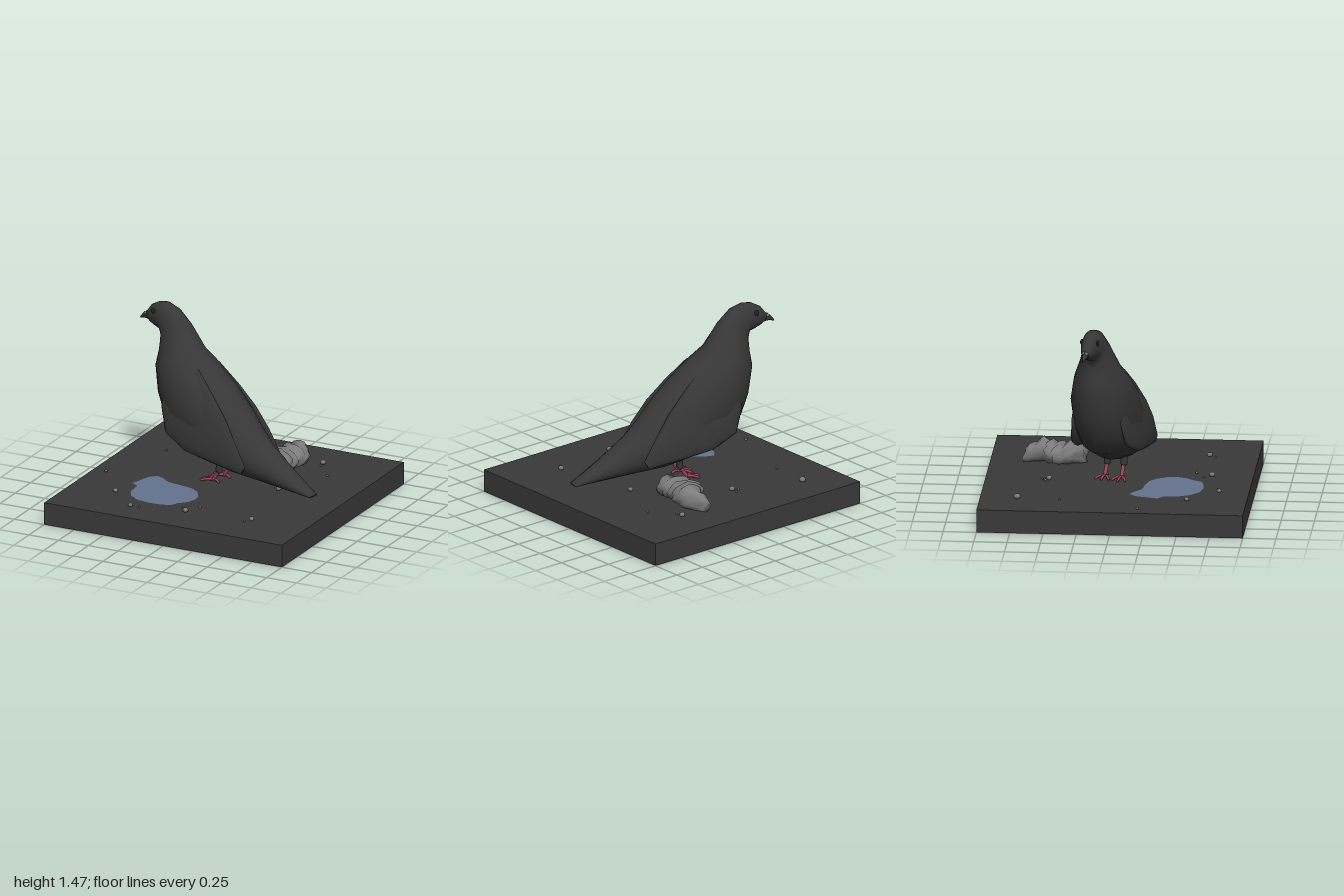
import * as THREE from 'three';

const mat = (name, color, side = THREE.FrontSide) => {
  const m = new THREE.MeshStandardMaterial({ color, side });
  m.name = name;
  return m;
};

// Skin of elliptical rings. Each section: [topX, topY, bottomX, bottomY, halfWidth, topZ, bottomZ]
function loft(sections, sides = 20) {
  const pos = [], index = [];
  for (const [dx, dy, vx, vy, w, dz = 0, vz = 0] of sections) {
    for (let j = 0; j < sides; j++) {
      const a = (j / sides) * Math.PI * 2, c = Math.cos(a) / 2;
      pos.push((dx + vx) / 2 + (dx - vx) * c, (dy + vy) / 2 + (dy - vy) * c,
        (dz + vz) / 2 + (dz - vz) * c + w * Math.sin(a));
    }
  }
  const n = sections.length;
  for (let i = 0; i < n - 1; i++) {
    for (let j = 0; j < sides; j++) {
      const a = i * sides + j, b = i * sides + (j + 1) % sides;
      index.push(a, b, a + sides, b, b + sides, a + sides);
    }
  }
  // End caps
  for (const [i, start] of [[0, true], [n - 1, false]]) {
    const [dx, dy, vx, vy, , dz = 0, vz = 0] = sections[i];
    const c = pos.length / 3;
    pos.push((dx + vx) / 2, (dy + vy) / 2, (dz + vz) / 2);
    for (let j = 0; j < sides; j++) {
      const a = i * sides + j, b = i * sides + (j + 1) % sides;
      if (start) index.push(c, b, a); else index.push(c, a, b);
    }
  }
  const g = new THREE.BufferGeometry();
  g.setAttribute('position', new THREE.Float32BufferAttribute(pos, 3));
  g.setIndex(index);
  g.computeVertexNormals();
  return g;
}

export function createModel() {
  const model = new THREE.Group();
  const ground = mat('asphalt', 0x393939);
  const plumage = mat('plumage', 0x373737);
  const black = mat('eye black', 0x222222);
  const pink = mat('leg pink', 0x9c4259);
  const water = mat('puddle blue', 0x63738f, THREE.DoubleSide);
  const grey = mat('stone grey', 0x787878);
  const crumple = mat('crumpled grey', 0x7c7c7c, THREE.DoubleSide);

  const add = (parent, name, geometry, material, x = 0, y = 0, z = 0) => {
    const m = new THREE.Mesh(geometry, material);
    m.name = name;
    m.position.set(x, y, z);
    parent.add(m);
    return m;
  };
  const rod = (parent, name, points, r, material) => {
    const curve = new THREE.CatmullRomCurve3(points.map(p => new THREE.Vector3(...p)));
    add(parent, name, new THREE.TubeGeometry(curve, 8, r, 7), material);
    for (const p of [points[0], points[points.length - 1]])
      add(parent, name + 'End', new THREE.SphereGeometry(r, 7, 6), material, ...p);
  };

  const TOP = 0.175;
  add(model, 'groundSlab', new THREE.BoxGeometry(2, TOP, 2), ground, 0, TOP / 2, 0);

  // Bird, turned slightly on the slab
  const bird = new THREE.Group();
  bird.name = 'bird';
  bird.position.z = -0.03;
  bird.rotation.y = -0.226;
  bird.scale.x = 1.026;
  model.add(bird);

  // Head, breast, belly and tail in one skin
  add(bird, 'body', loft([
    [-0.745, 1.36, -0.742, 1.30, 0.022],
    [-0.70, 1.42, -0.70, 1.275, 0.05],
    [-0.63, 1.46, -0.65, 1.255, 0.069],
    [-0.56, 1.472, -0.60, 1.24, 0.079],
    [-0.46, 1.44, -0.59, 1.18, 0.09],
    [-0.36, 1.34, -0.602, 1.08, 0.125],
    [-0.25, 1.165, -0.617, 0.98, 0.185],
    [-0.13, 1.08, -0.58, 0.77, 0.23],
    [0.05, 0.93, -0.52, 0.60, 0.245],
    [0.20, 0.78, -0.41, 0.46, 0.24],
    [0.30, 0.66, -0.15, 0.34, 0.21],
    [0.40, 0.565, 0.10, 0.285, 0.165],
    [0.58, 0.44, 0.35, 0.275, 0.115],
    [0.84, 0.272, 0.825, 0.25, 0.046],
  ]), plumage);

  // Beak with pale cere
  add(bird, 'beak', loft([
    [-0.815, 1.293, -0.812, 1.283, 0.004],
    [-0.785, 1.333, -0.775, 1.293, 0.015],
    [-0.73, 1.362, -0.73, 1.292, 0.026],
  ], 10), plumage);

  for (const [side, s] of [['left', 1], ['right', -1]]) {
    add(bird, side + 'Cere', new THREE.SphereGeometry(0.014, 8, 6), grey, -0.755, 1.34, s * 0.012)
      .scale.set(1.2, 0.9, 0.9);
    const eye = add(bird, side + 'Eye', new THREE.SphereGeometry(0.021, 12, 8), black, -0.64, 1.395, s * 0.063);
    eye.scale.z = 0.5;

    // Folded wing, standing clear of the body toward the tip
    add(bird, side + 'Wing', loft([
      [-0.29, 1.03, -0.40, 0.90, 0.02, s * 0.12, s * 0.17],
      [-0.16, 1.06, -0.46, 0.72, 0.04, s * 0.12, s * 0.19],
      [0.00, 0.91, -0.40, 0.53, 0.045, s * 0.155, s * 0.215],
      [0.14, 0.76, -0.20, 0.44, 0.038, s * 0.18, s * 0.24],
      [0.25, 0.60, 0.05, 0.40, 0.028, s * 0.20, s * 0.23],
      [0.35, 0.43, 0.31, 0.362, 0.012, s * 0.205, s * 0.205],
    ], 14), plumage);

    // Leg and four toes
    const z = s * 0.065;
    rod(bird, side + 'Thigh', [[0.0, 0.36, z], [-0.01, 0.28, z]], 0.027, plumage);
    rod(bird, side + 'Shank', [[-0.01, 0.28, z], [-0.065, TOP + 0.018, z]], 0.014, pink);
    const foot = [-0.065, TOP + 0.016, z];
    for (const [dx, dz] of [[-0.095, 0], [-0.075, 0.05], [-0.075, -0.05], [0.05, 0]])
      rod(bird, side + 'Toe', [foot, [-0.065 + dx * 0.5, TOP + 0.02, z + dz * 0.55],
        [-0.065 + dx, TOP + 0.009, z + dz]], 0.01, pink);
  }

  // Puddle
  const outline = [[-0.55, 0.16], [-0.5, 0.11], [-0.45, 0.13], [-0.37, 0.19], [-0.25, 0.21], [-0.15, 0.23],
    [-0.08, 0.28], [-0.03, 0.36], [-0.02, 0.43], [-0.05, 0.51], [-0.10, 0.56], [-0.13, 0.62], [-0.20, 0.645],
    [-0.31, 0.65], [-0.41, 0.63], [-0.49, 0.57], [-0.53, 0.49], [-0.54, 0.37], [-0.6, 0.33], [-0.57, 0.22]];
  const puddle = new THREE.ShapeGeometry(new THREE.Shape(outline.map(([x, z]) => new THREE.Vector2(x, -z))));
  add(model, 'puddle', puddle.rotateX(-Math.PI / 2), water, 0, TOP + 0.003, 0);

  // Crumpled litter: slanted pleats of alternating size. [z, centreX, halfWidth, height]
  const rings = [[-0.29, 0.32, 0.05, 0.12], [-0.32, 0.30, 0.085, 0.18], [-0.36, 0.30, 0.08, 0.15],
    [-0.39, 0.28, 0.115, 0.185], [-0.43, 0.28, 0.10, 0.14], [-0.46, 0.27, 0.135, 0.175],
    [-0.50, 0.29, 0.10, 0.145], [-0.54, 0.30, 0.125, 0.185], [-0.57, 0.33, 0.09, 0.16],
    [-0.61, 0.33, 0.095, 0.195], [-0.65, 0.33, 0.07, 0.155], [-0.69, 0.32, 0.065, 0.15], [-0.73, 0.29, 0.035, 0.11]];
  const litter = loft(rings.map(([z, cx, w, h]) => [-z, TOP + h, -z, TOP + 0.002, w, cx, cx]), 16);
  litter.rotateY(Math.PI / 2);
  const p = litter.attributes.position;
  for (let i = 0; i < p.count; i++) {
    const x = p.getX(i), y = p.getY(i), z = p.getZ(i);
    p.setZ(i, z + (x - 0.3) * 0.35 + 0.012 * Math.sin(x * 60 + y * 40));
    p.setX(i, x + 0.008 * Math.sin(y * 70 + z * 50));
  }
  litter.computeVertexNormals();
  add(model, 'crumpledLitter', litter, crumple);

  // Scattered pebbles: [x, z, radius]
  const pebbles = [[-0.67, -0.72, 0.025], [-0.15, -0.52, 0.021], [-0.19, -0.545, 0.011], [-0.15, -0.57, 0.009],
    [0.48, -0.69, 0.021], [0.49, -0.64, 0.009], [0.63, -0.47, 0.01], [-0.69, -0.4, 0.009], [-0.89, 0.2, 0.011],
    [-0.63, 0.55, 0.019], [0.03, 0.69, 0.022], [0.09, 0.57, 0.011], [-0.02, 0.63, 0.008], [-0.39, 0.775, 0.018],
    [-0.32, 0.765, 0.009], [0.555, 0.63, 0.02], [0.52, 0.68, 0.009], [0.44, -0.04, 0.02]];
  pebbles.forEach(([x, z, r], i) => {
    const m = add(model, 'pebble', new THREE.IcosahedronGeometry(r, 1), grey, x, TOP + r * 0.7, z);
    m.scale.set(1, 0.85, 1.1);
    m.rotation.y = i * 1.3;
  });

  return model;
}
